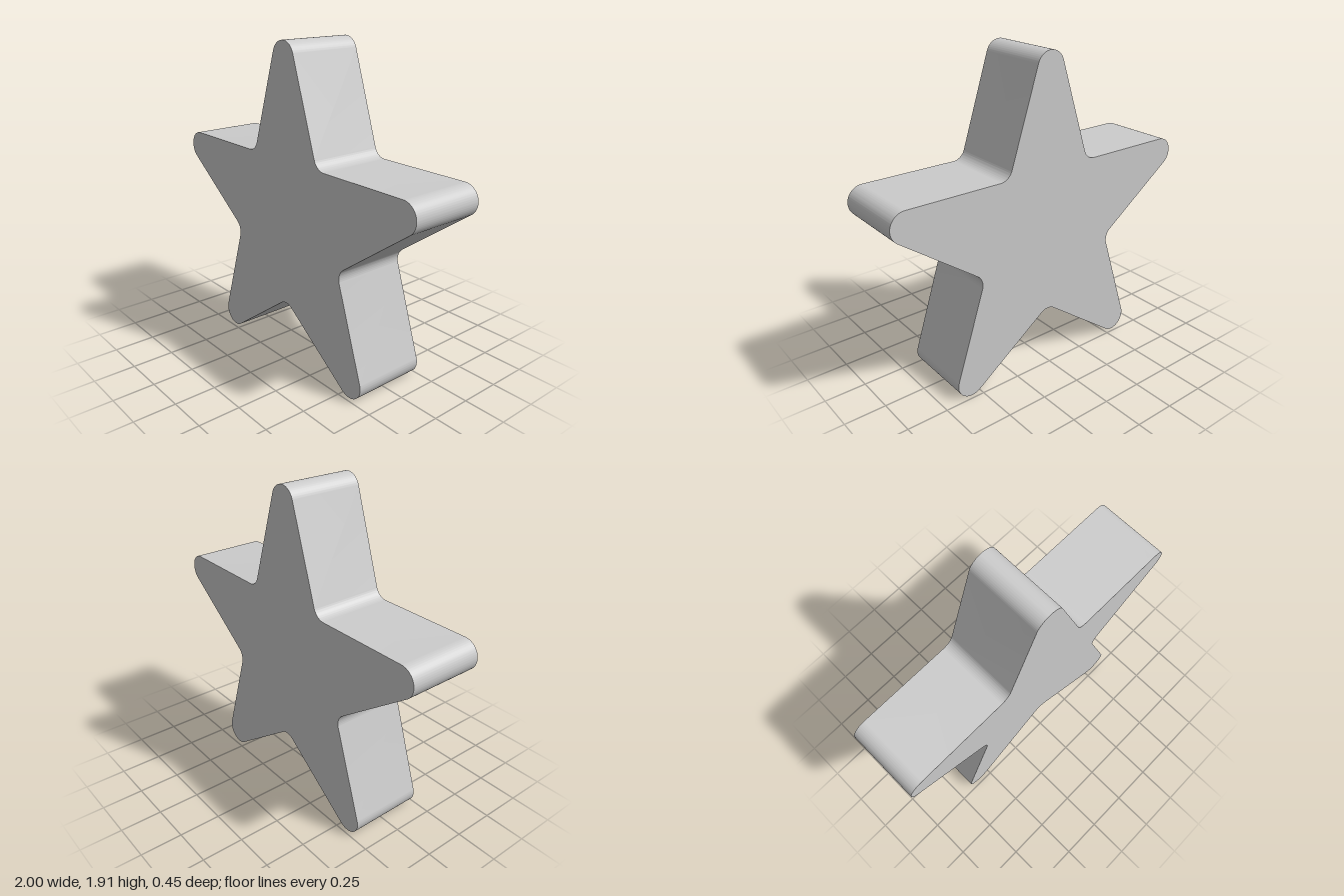
import * as THREE from 'three';
import { toCreasedNormals } from 'three/addons/utils/BufferGeometryUtils.js';

const CENTER_Y = 0.864;   // height of the star's centre
const TIP_DIST = 0.956;   // centre of star to centre of each tip rounding
const TIP_R = 0.091;      // tip rounding
const NOTCH_R = 0.08;     // inner corner rounding
const DEPTH = 0.453;

// Outline: five rounded tips joined by rounded notches; straight edges link the arcs
function starShape() {
  const shape = new THREE.Shape();
  const rad = THREE.MathUtils.degToRad;
  const apothem = TIP_DIST * Math.sin(rad(18)) + TIP_R;
  const notchDist = apothem / Math.cos(rad(36)) + NOTCH_R / Math.cos(rad(36));
  for (let i = 0; i < 5; i++) {
    const tip = 90 + i * 72, notch = tip + 36;
    shape.absarc(TIP_DIST * Math.cos(rad(tip)), TIP_DIST * Math.sin(rad(tip)),
      TIP_R, rad(tip - 72), rad(tip + 72), false);
    shape.absarc(notchDist * Math.cos(rad(notch)), notchDist * Math.sin(rad(notch)),
      NOTCH_R, rad(notch + 216), rad(notch + 144), true);
  }
  shape.closePath();
  return shape;
}

export function createModel() {
  const group = new THREE.Group();
  group.name = 'roundedStar';

  // Thick slab with flat faces and smooth rounded corners
  const geometry = new THREE.ExtrudeGeometry(starShape(), {
    depth: DEPTH, bevelEnabled: false, curveSegments: 20,
  });
  geometry.translate(0, CENTER_Y, -DEPTH / 2);

  const star = new THREE.Mesh(
    toCreasedNormals(geometry, Math.PI / 6),
    new THREE.MeshStandardMaterial({ color: 0xcccccc }),
  );
  star.name = 'starBody';
  group.add(star);
  return group;
}
